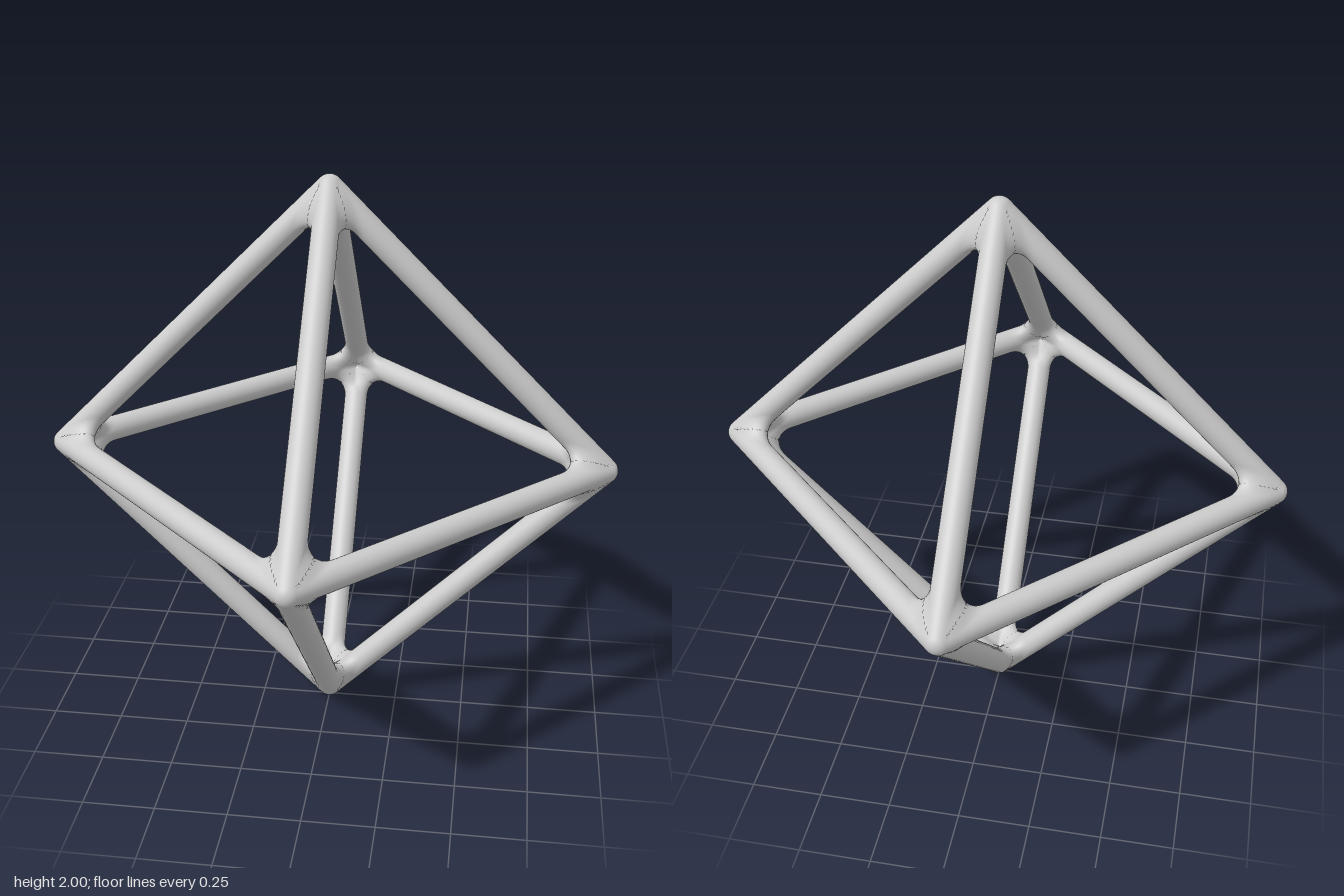
import * as THREE from 'three';
import { mergeGeometries } from 'three/addons/utils/BufferGeometryUtils.js';

const REACH = 0.955;  // centre to corner
const RADIUS = 0.045; // strut radius
const FILLET = 0.095; // blend size between neighbouring struts
const HALF = REACH * Math.SQRT1_2; // half the strut length
const SEGMENTS = 36;

// The four strut directions leaving a corner whose outward axis is +y
const dirs = [0, 1, 2, 3].map(i =>
  new THREE.Vector3(1, -1, 0).normalize().applyAxisAngle(new THREE.Vector3(0, 1, 0), i * Math.PI / 2));

// Signed distance to the corner: four rods, neighbours joined by a round fillet
function field(p) {
  const rods = dirs.map(d => {
    const n = p.clone().addScaledVector(d, -Math.max(0, p.dot(d)));
    const dist = n.length() - RADIUS;
    return { dist, n: n.normalize() };
  });
  let best = Infinity;
  rods.forEach((a, i) => {
    const b = rods[(i + 1) % 4];
    // The fillet fades out where both surfaces face the same way
    const k = FILLET * Math.min(1, Math.max(0, (1 - a.n.dot(b.n)) / 1.5));
    const blend = Math.max(k, Math.min(a.dist, b.dist)) -
      Math.hypot(Math.max(k - a.dist, 0), Math.max(k - b.dist, 0));
    best = Math.min(best, blend);
  });
  return best;
}

function fieldNormal(p) {
  const e = 0.0015;
  const slope = axis => {
    const q = p.clone(), s = p.clone();
    q[axis] += e;
    s[axis] -= e;
    return field(q) - field(s);
  };
  return new THREE.Vector3(slope('x'), slope('y'), slope('z')).normalize();
}

// Half a strut: rings along the axis, pushed outward to the filleted surface
function armGeometry() {
  const d = dirs[0];
  const u = new THREE.Vector3(1, 1, 0).normalize();
  const v = new THREE.Vector3(0, 0, 1);
  const stations = [];
  for (let i = 0; i <= 36; i++) stations.push(i * 0.0075);
  stations.push(HALF);
  const positions = [], normals = [], index = [];
  stations.forEach((t, i) => {
    for (let j = 0; j <= SEGMENTS; j++) {
      const angle = j / SEGMENTS * Math.PI * 2;
      const w = u.clone().multiplyScalar(Math.cos(angle)).addScaledVector(v, Math.sin(angle));
      // Stop at the planes halfway to the other struts
      let high = 0.25, low = 0;
      for (const other of dirs.slice(1)) {
        const toward = w.dot(other);
        if (toward > 1e-6) high = Math.min(high, t * (1 - d.dot(other)) / toward);
      }
      const at = h => d.clone().multiplyScalar(t).addScaledVector(w, h);
      if (field(at(high)) > 0) {
        for (let n = 0; n < 22; n++) {
          const mid = (low + high) / 2;
          if (field(at(mid)) > 0) high = mid; else low = mid;
        }
      }
      const p = at(high);
      positions.push(p.x, p.y, p.z);
      normals.push(...fieldNormal(p).toArray());
      if (i < stations.length - 1 && j < SEGMENTS) {
        const a = i * (SEGMENTS + 1) + j, c = a + SEGMENTS + 1;
        index.push(a, a + 1, c + 1, a, c + 1, c);
      }
    }
  });
  const geometry = new THREE.BufferGeometry();
  geometry.setAttribute('position', new THREE.Float32BufferAttribute(positions, 3));
  geometry.setAttribute('normal', new THREE.Float32BufferAttribute(normals, 3));
  geometry.setIndex(index);
  return geometry;
}

export function createModel() {
  const model = new THREE.Group();
  model.name = 'octahedronFrame';
  const material = new THREE.MeshStandardMaterial({ color: 0xcccccc });

  // Four half struts make one corner
  const arm = armGeometry();
  const struts = mergeGeometries([0, 1, 2, 3].map(i => arm.clone().rotateY(i * Math.PI / 2)));
  const tip = new THREE.SphereGeometry(RADIUS, 32, 20);

  // Six corners, each turned to point outward; their struts meet halfway
  const corners = {
    top: [0, 1, 0], bottom: [0, -1, 0], left: [1, 0, 0],
    right: [-1, 0, 0], front: [0, 0, 1], back: [0, 0, -1],
  };
  for (const [side, axis] of Object.entries(corners)) {
    const out = new THREE.Vector3(...axis);
    const corner = new THREE.Group();
    corner.name = side + 'Corner';
    const strutMesh = new THREE.Mesh(struts, material);
    strutMesh.name = side + 'HalfStruts';
    const tipMesh = new THREE.Mesh(tip, material);
    tipMesh.name = side + 'RoundedTip';
    corner.add(strutMesh, tipMesh);
    corner.quaternion.setFromUnitVectors(new THREE.Vector3(0, 1, 0), out);
    corner.position.copy(out).multiplyScalar(REACH);
    corner.position.y += 1;
    model.add(corner);
  }
  return model;
}
